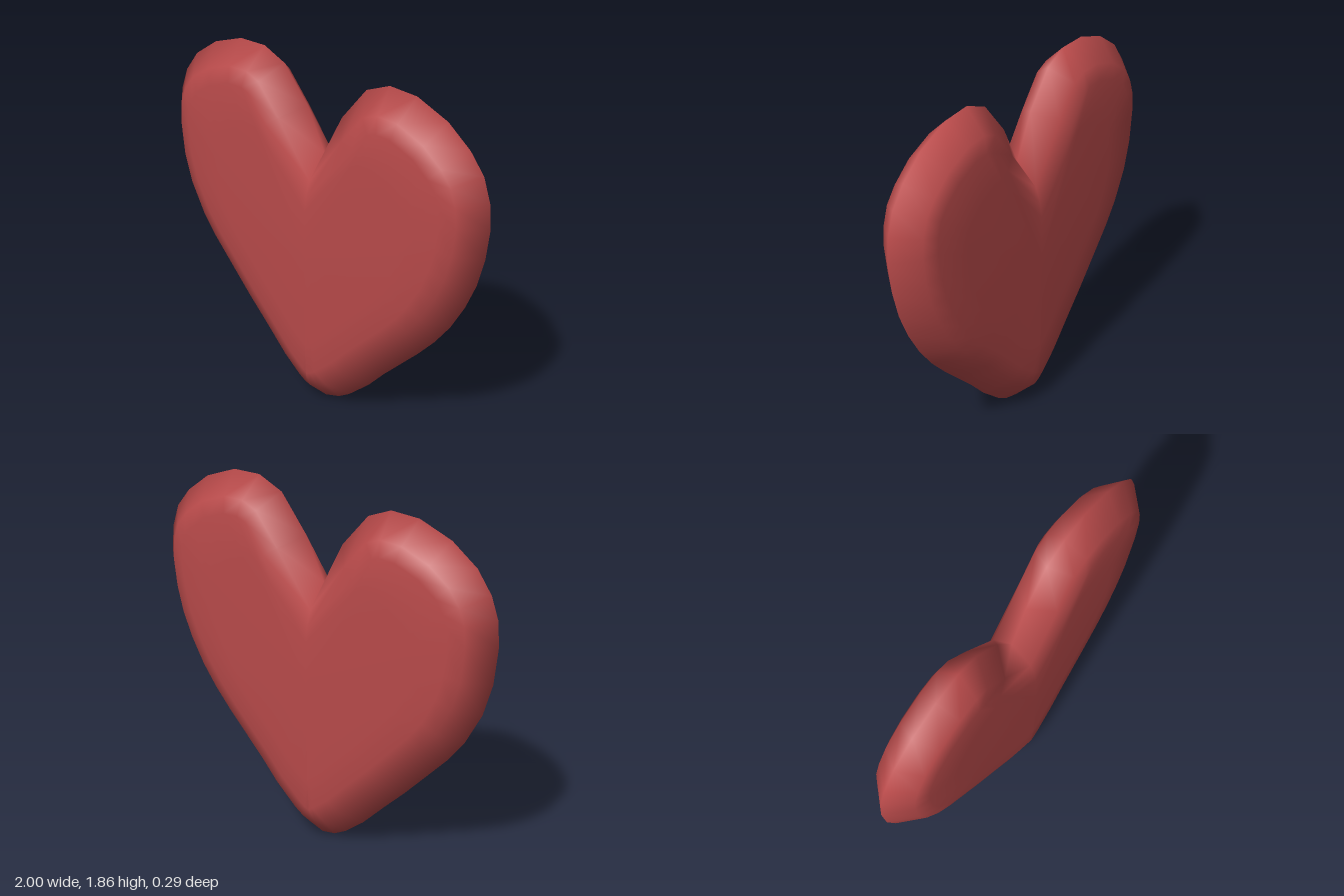
import * as THREE from 'three';

// Heart outline, counterclockwise from the bottom tip
const OUTLINE = [
  [0.01, 0], [0.1, 0.03], [0.17, 0.075], [0.3, 0.19], [0.4, 0.3], [0.5, 0.4], [0.61, 0.51],
  [0.71, 0.62], [0.8, 0.74], [0.88, 0.88], [0.94, 1.02], [0.98, 1.17], [1, 1.33], [0.99, 1.46],
  [0.95, 1.58], [0.87, 1.68], [0.74, 1.78], [0.56, 1.85], [0.4, 1.855], [0.26, 1.795], [0.11, 1.61],
  [0, 1.39],
  [-0.11, 1.61], [-0.26, 1.785], [-0.39, 1.84], [-0.55, 1.835], [-0.73, 1.77], [-0.87, 1.67],
  [-0.95, 1.56], [-0.99, 1.45], [-1, 1.32], [-0.98, 1.13], [-0.93, 0.96], [-0.84, 0.79],
  [-0.75, 0.67], [-0.63, 0.54], [-0.5, 0.4], [-0.38, 0.28], [-0.25, 0.145], [-0.14, 0.055], [-0.07, 0.015],
];
const CENTRE = [0, 0.9];

// Rings from back to front: inward offset, scale about the centre, depth
const HALF = [[0.11, 1, 0.11], [0.19, 1, 0.135], [0.19, 0.75, 0.144]];
const RINGS = [
  ...HALF.map(([d, s, z]) => [d, s, -z]).reverse(),
  [0, 1, 0],
  ...HALF,
];

function ringPoints([inset, scale, z]) {
  const n = OUTLINE.length;
  return OUTLINE.flatMap(([x, y], i) => {
    const [ax, ay] = OUTLINE[(i + n - 1) % n];
    const [bx, by] = OUTLINE[(i + 1) % n];
    const len = Math.hypot(bx - ax, by - ay);
    const px = x - (by - ay) / len * inset;
    const py = y + (bx - ax) / len * inset;
    return [CENTRE[0] + (px - CENTRE[0]) * scale, CENTRE[1] + (py - CENTRE[1]) * scale, z];
  });
}

function heartGeometry() {
  const n = OUTLINE.length;
  const positions = RINGS.flatMap(ringPoints);
  const back = positions.length / 3;
  const front = back + 1;
  positions.push(...CENTRE, -0.146, ...CENTRE, 0.146);

  const index = [];
  const last = (RINGS.length - 1) * n;
  for (let i = 0; i < n; i++) {
    const j = (i + 1) % n;
    // Rounded rim
    for (let r = 0; r < last; r += n) {
      index.push(r + i, r + j, r + n + j, r + i, r + n + j, r + n + i);
    }
    // Back and front faces
    index.push(back, j, i, front, last + i, last + j);
  }

  const geometry = new THREE.BufferGeometry();
  geometry.setAttribute('position', new THREE.Float32BufferAttribute(positions, 3));
  geometry.setIndex(index);
  geometry.computeVertexNormals();
  return geometry;
}

export function createModel() {
  const group = new THREE.Group();
  group.name = 'heartModel';
  const heart = new THREE.Mesh(heartGeometry(), new THREE.MeshStandardMaterial({ color: 0xb84a4a }));
  heart.name = 'heart';
  group.add(heart);
  return group;
}
